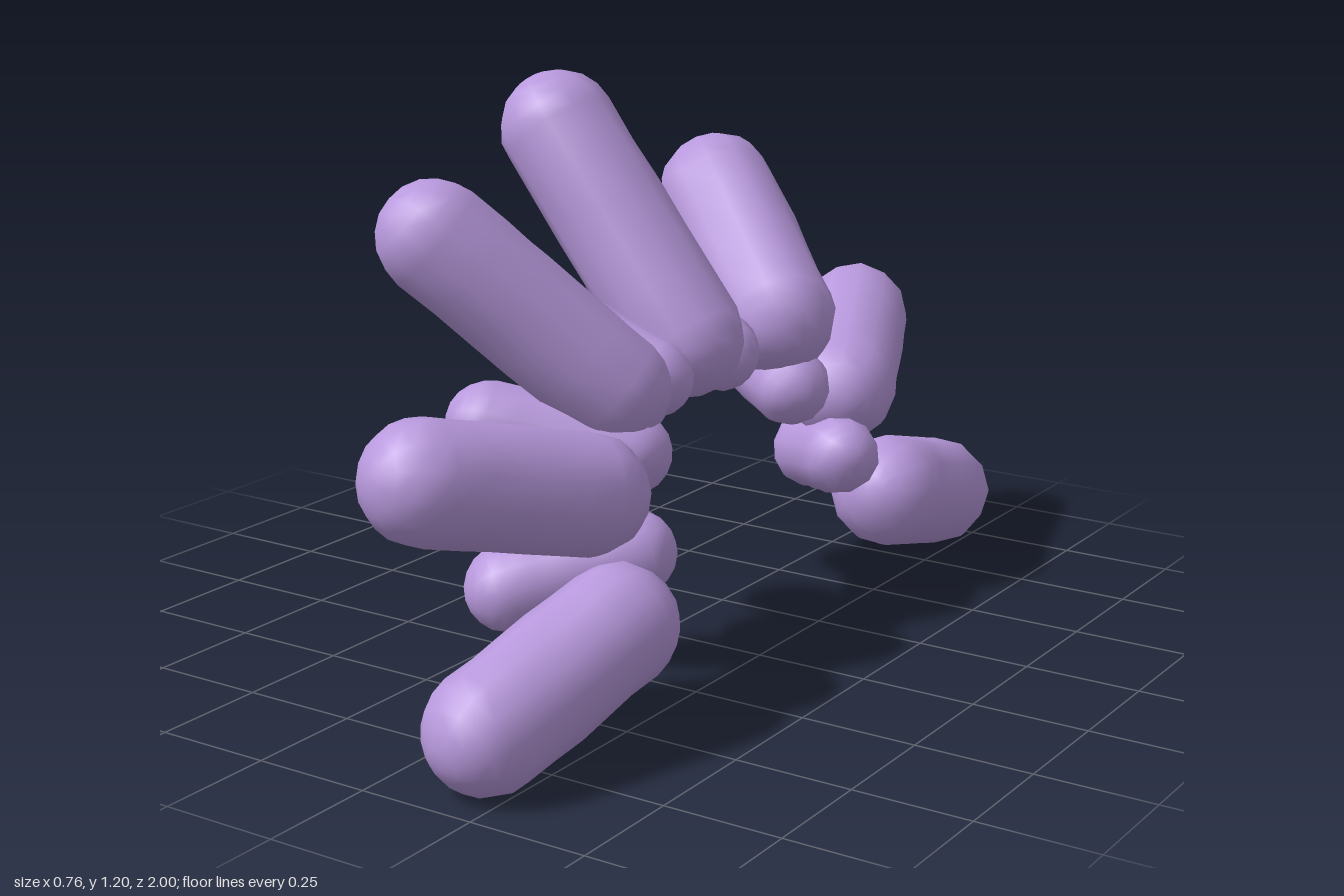
import * as THREE from 'three';
import { mergeVertices } from 'three/addons/utils/BufferGeometryUtils.js';

const lilac = new THREE.MeshStandardMaterial({ color: 0xb899dd });
lilac.name = 'lilac';

// Faintly lumpy capsule whose round ends are centred on the inner and outer points
function lobe(name, inner, outer, radius) {
  const a = new THREE.Vector3(...inner), b = new THREE.Vector3(...outer);
  const length = a.distanceTo(b);
  let geo = new THREE.CapsuleGeometry(radius, length, 5, 12, 5);
  geo.deleteAttribute('uv');
  geo.deleteAttribute('normal');
  geo = mergeVertices(geo, 1e-4);
  const p = geo.attributes.position;
  for (let i = 0; i < p.count; i++) {
    const x = p.getX(i), y = p.getY(i), z = p.getZ(i);
    const k = 1 + 0.025 * Math.sin(45 * y + 30 * x + 60 * inner[2]) * Math.cos(38 * z - 20 * y);
    p.setXYZ(i, x * k, y, z * k);
  }
  geo.computeVertexNormals();
  const mesh = new THREE.Mesh(geo, lilac);
  mesh.name = name;
  mesh.position.copy(a).add(b).multiplyScalar(0.5);
  mesh.quaternion.setFromUnitVectors(new THREE.Vector3(0, 1, 0), b.sub(a).normalize());
  return mesh;
}

export function createModel() {
  const group = new THREE.Group();
  group.name = 'lobeArch';

  // Seven large lobes fanned along the arch: inner centre, outer centre, radius
  const large = [
    [[0.25, 0.23, -0.55], [0.21, 0.14, -0.875], 0.125],
    [[0.15, 0.465, -0.51], [-0.005, 0.55, -0.85], 0.123],
    [[0.09, 0.66, -0.32], [-0.17, 0.89, -0.49], 0.13],
    [[0.06, 0.67, 0], [-0.26, 1.085, 0], 0.125],
    [[0.09, 0.635, 0.31], [-0.18, 0.945, 0.525], 0.118],
    [[0.16, 0.475, 0.5], [0.03, 0.565, 0.84], 0.123],
    [[0.255, 0.24, 0.54], [0.195, 0.125, 0.875], 0.123],
  ];
  large.forEach(([a, b, r], i) => group.add(lobe('largeLobe' + (i + 1), a, b, r)));

  // Three pairs of small lobes filling the gaps, mirrored front to back
  const small = [
    [[0.065, 0.615, 0.13], [-0.185, 0.72, 0.17], 0.085],
    [[0.13, 0.51, 0.315], [-0.11, 0.565, 0.455], 0.088],
    [[0.205, 0.34, 0.41], [0.03, 0.285, 0.585], 0.087],
  ];
  for (const [a, b, r] of small) {
    for (const s of [1, -1]) {
      group.add(lobe(s > 0 ? 'smallFrontLobe' : 'smallBackLobe',
        [a[0], a[1], a[2] * s], [b[0], b[1], b[2] * s], r));
    }
  }
  return group;
}
